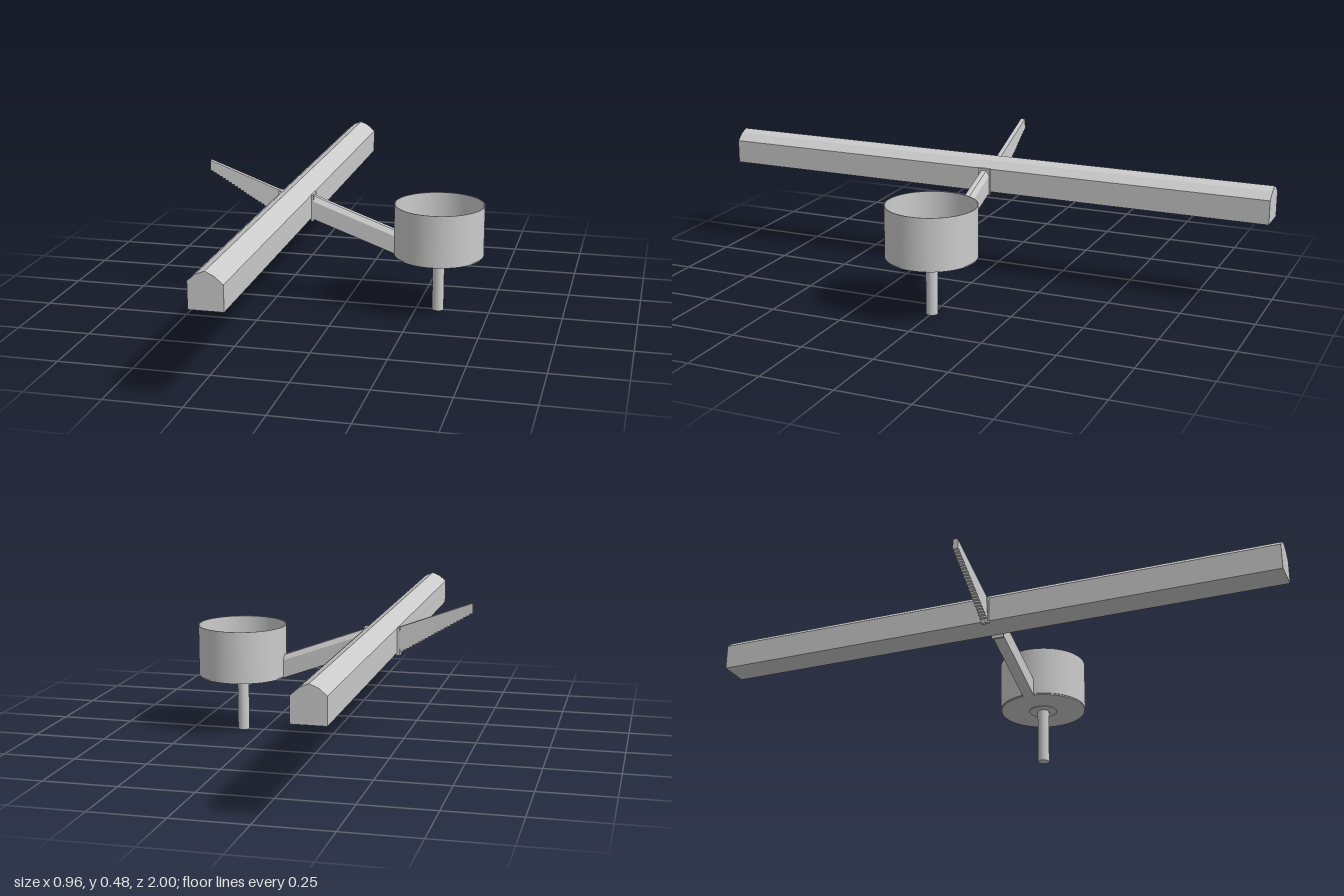
import * as THREE from 'three';

const material = new THREE.MeshStandardMaterial({ color: 0xcccccc, side: THREE.DoubleSide });

function shapeOf(points) {
  return new THREE.Shape(points.map(([x, y]) => new THREE.Vector2(x, y)));
}

function extrude(points, depth) {
  return new THREE.ExtrudeGeometry(shapeOf(points), { depth, bevelEnabled: false });
}

// Move every vertex of a geometry by a rule
function reshape(geometry, rule) {
  const p = geometry.attributes.position;
  const v = new THREE.Vector3();
  for (let i = 0; i < p.count; i++) {
    rule(v.fromBufferAttribute(p, i));
    p.setXYZ(i, v.x, v.y, v.z);
  }
  geometry.computeVertexNormals();
  return geometry;
}

export function createModel() {
  const model = new THREE.Group();
  const add = (name, geometry, x = 0, y = 0, z = 0) => {
    const mesh = new THREE.Mesh(geometry, material);
    mesh.name = name;
    mesh.position.set(x, y, z);
    model.add(mesh);
  };

  // Long beam with a rounded top
  add('beam', extrude([
    [-0.225, 0.302], [-0.117, 0.302], [-0.117, 0.384], [-0.145, 0.408],
    [-0.172, 0.42], [-0.2, 0.409], [-0.225, 0.388],
  ], 2), 0, 0, -1);

  // Sloping arm with a chamfered top edge
  const arm = extrude([
    [-0.02, 0], [0.02, 0], [0.02, 0.062], [0.009, 0.08], [-0.009, 0.08], [-0.02, 0.062],
  ], 0.292);
  arm.rotateY(Math.PI / 2);
  reshape(arm, (v) => { v.y -= 0.364 * v.x; });
  add('arm', arm, -0.118, 0.301);

  // Tapered tail with a stepped underside
  const steps = 24, tip = -0.48, root = -0.225;
  const outline = [[root, 0.388], [tip, 0.483]];
  for (let i = 0; i < steps; i++) {
    const y = 0.446 - (0.146 * i) / (steps - 1);
    outline.push([tip + ((root - tip) * i) / steps, y], [tip + ((root - tip) * (i + 1)) / steps, y]);
  }
  const tail = extrude(outline, 2);
  reshape(tail, (v) => {
    const below = 0.388 - 0.3725 * (v.x - root) - v.y;
    v.z = (v.z - 1) * (0.008 + 0.05 * below);
  });
  add('tail', tail);

  // Small collars where the arm and tail meet the beam
  add('armCollar', new THREE.BoxGeometry(0.008, 0.095, 0.044), -0.114, 0.338);
  add('tailCollar', new THREE.BoxGeometry(0.012, 0.096, 0.028), -0.229, 0.341);

  // Open cup with a thin wall
  const cup = [[0, 0.2], [0.153, 0.2], [0.153, 0.375], [0.15, 0.375], [0.15, 0.204], [0, 0.204]];
  for (let i = 0; i < cup.length - 1; i++) {
    const part = [cup[i], cup[i + 1]].map(([x, y]) => new THREE.Vector2(x, y));
    add('cup', new THREE.LatheGeometry(part, 64), 0.324);
  }
  add('cupBase', new THREE.CylinderGeometry(0.15, 0.15, 0.005, 64), 0.324, 0.198);

  // Stem and its washer under the cup
  add('washer', new THREE.CylinderGeometry(0.05, 0.05, 0.004, 32), 0.324, 0.195);
  add('stem', new THREE.CylinderGeometry(0.02, 0.02, 0.2, 32), 0.324, 0.1);

  return model;
}
